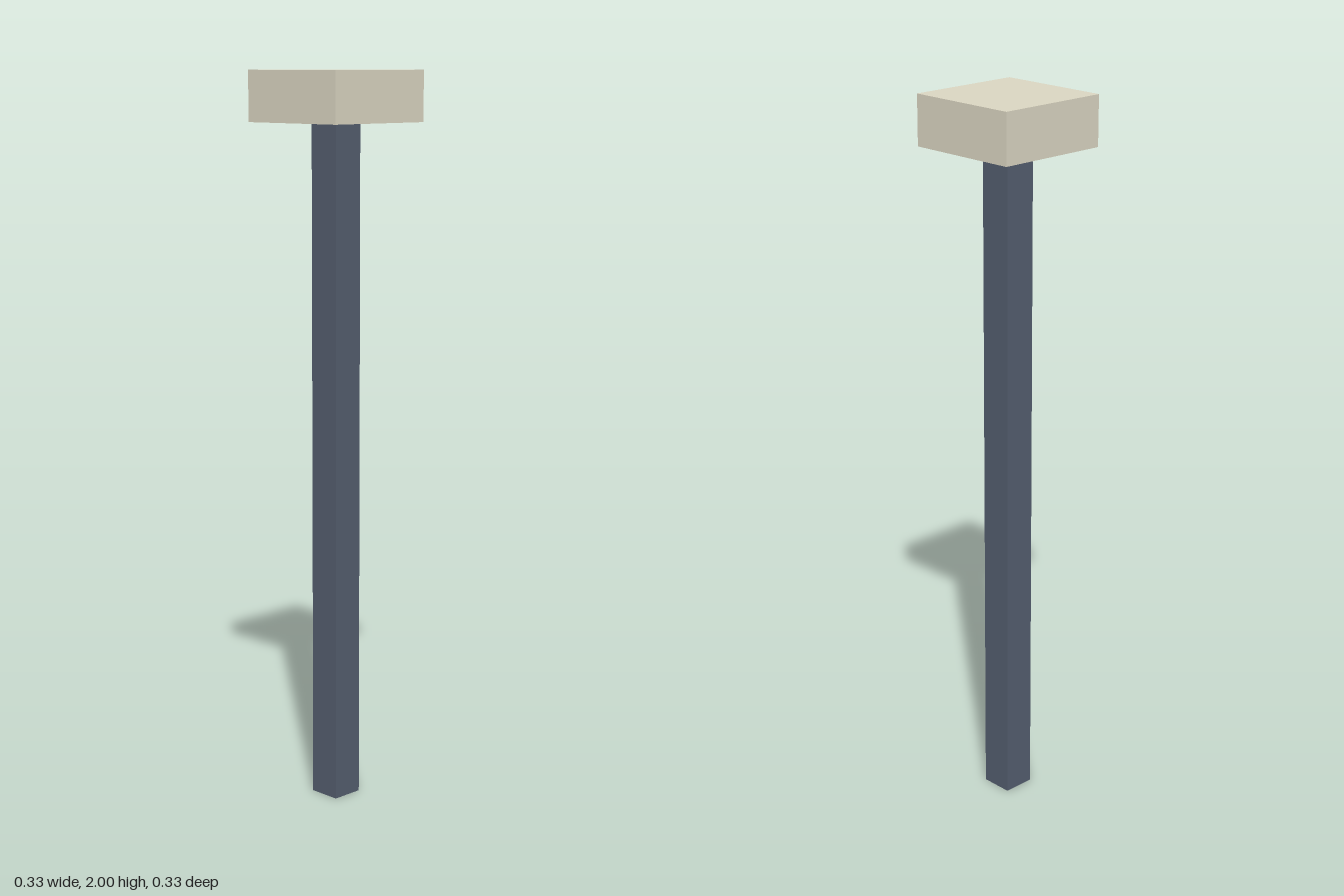
import * as THREE from 'three';

function box(name, width, bottom, top, color) {
  const height = top - bottom;
  const mesh = new THREE.Mesh(
    new THREE.BoxGeometry(width, height, width),
    new THREE.MeshStandardMaterial({ color, flatShading: true })
  );
  mesh.name = name;
  mesh.position.y = bottom + height / 2;
  return mesh;
}

export function createModel() {
  const group = new THREE.Group();
  group.name = 'lampPost';

  // Square post standing on the ground
  group.add(box('post', 0.091, 0, 1.864, 0x555f70));

  // Wide square lamp head on top
  group.add(box('lampHead', 0.327, 1.864, 2, 0xddd8c4));

  return group;
}
